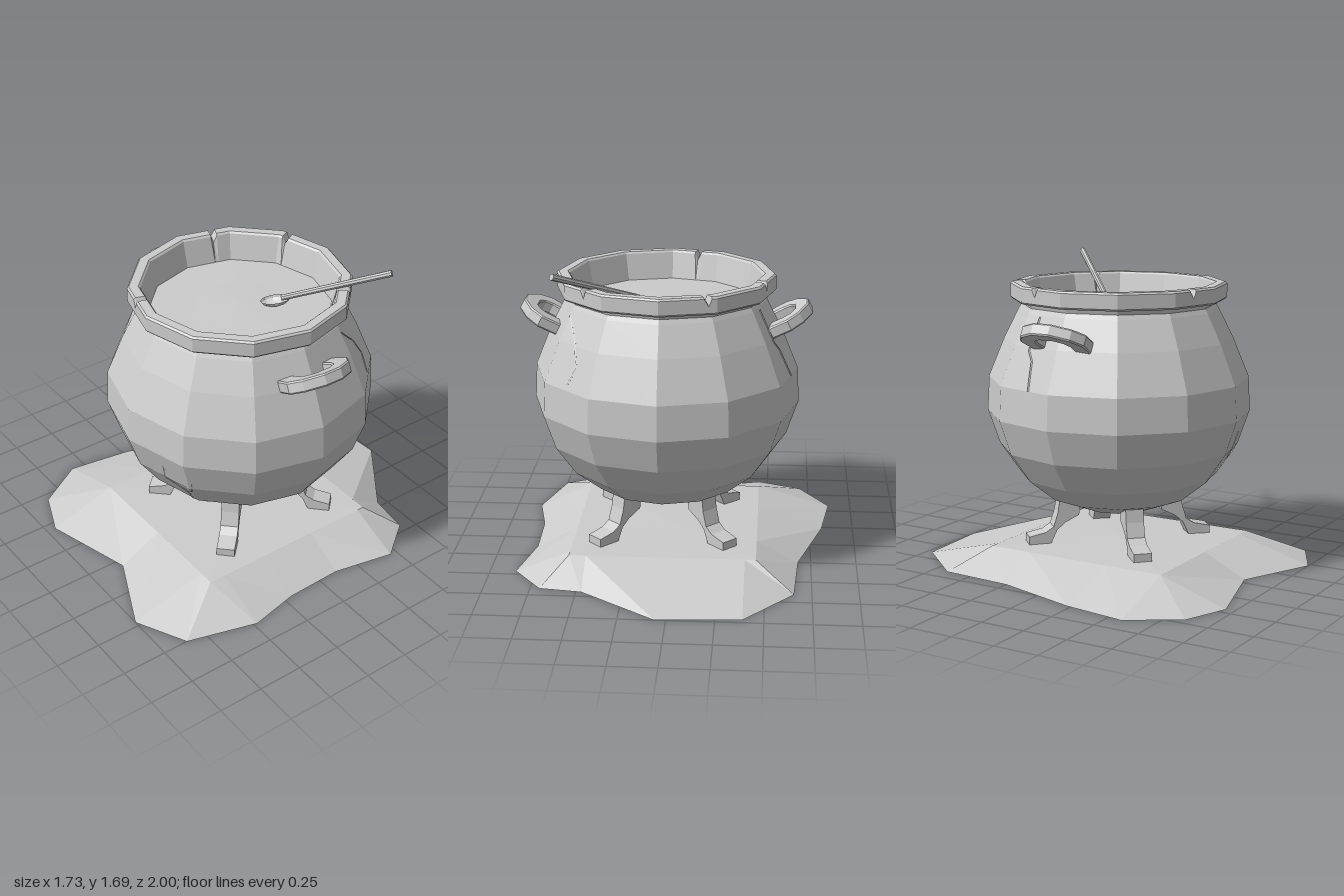
import * as THREE from 'three';

const CX = 0.065, CZ = 0.01, SIDES = 12, STEP = Math.PI * 2 / SIDES;
const mat = new THREE.MeshStandardMaterial({ color: 0xcccccc, flatShading: true });
const thin = new THREE.MeshStandardMaterial({ color: 0xcccccc, flatShading: true, side: THREE.DoubleSide });

function mesh(name, geo, material = mat) {
  const g = geo.index ? geo.toNonIndexed() : geo;
  g.computeVertexNormals();
  const m = new THREE.Mesh(g, material);
  m.name = name;
  return m;
}
const vecs = list => list.map(p => new THREE.Vector2(...p));

// Outer profile of the pot: radius, height
const POT = [[0, 0.285], [0.2, 0.31], [0.4, 0.385], [0.55, 0.505], [0.665, 0.67], [0.73, 0.86],
  [0.72, 1.05], [0.63, 1.27], [0.55, 1.43], [0.535, 1.455], [0.545, 1.485]];

// How far a flat side lies inside the corner radius at a given angle
function facet(theta) {
  const a = ((theta % STEP) + STEP) % STEP;
  return Math.cos(STEP / 2) / Math.cos(a - STEP / 2);
}

function potPoint(theta, y, lift = 0) {
  const i = Math.max(1, POT.findIndex(p => p[1] >= y));
  const [r0, y0] = POT[i - 1], [r1, y1] = POT[i];
  const r = THREE.MathUtils.mapLinear(y, y0, y1, r0, r1) * facet(theta) + lift;
  return new THREE.Vector3(Math.sin(theta) * r, y, Math.cos(theta) * r);
}

// Twelve-sided rim with small V-shaped chips in its top edge
function makeRim() {
  const profile = vecs([[0.53, 1.48], [0.585, 1.48], [0.595, 1.49], [0.595, 1.565],
    [0.585, 1.575], [0.535, 1.575], [0.525, 1.565], [0.488, 1.415]]);
  const chips = [2.37, 3.59, 4.373, 5.996];
  const angles = [];
  for (let i = 0; i <= SIDES; i++) angles.push({ a: i * STEP, dip: 0 });
  for (const c of chips) angles.push({ a: c - 0.04, dip: 0 }, { a: c, dip: 0.04 }, { a: c + 0.03, dip: 0 });
  angles.sort((p, q) => p.a - q.a);
  const geo = new THREE.LatheGeometry(profile, angles.length - 1);
  const pos = geo.attributes.position;
  for (let i = 0; i < pos.count; i++) {
    const { a, dip } = angles[Math.floor(i / profile.length)];
    const p = profile[i % profile.length], r = p.x * facet(a);
    pos.setXYZ(i, Math.sin(a) * r, p.y > 1.5 ? p.y - dip : p.y, Math.cos(a) * r);
  }
  return mesh('rim', geo);
}

// Thin crack that follows the flat sides of the pot; points are angle, height
function makeCrack(points) {
  const path = [];
  for (let i = 1; i < points.length; i++) {
    for (let k = i > 1 ? 1 : 0; k <= 4; k++) {
      const t = k / 4, [a0, y0] = points[i - 1], [a1, y1] = points[i];
      path.push(potPoint(a0 + (a1 - a0) * t, y0 + (y1 - y0) * t, 0.001));
    }
  }
  const curve = new THREE.CatmullRomCurve3(path, false, 'catmullrom', 0.1);
  return mesh('crack', new THREE.TubeGeometry(curve, path.length * 2, 0.005, 3));
}

// U-shaped grip, sloping up and outward
function makeHandle() {
  const half = [[0, 0.17], [0.13, 0.19], [0.2, 0.145], [0.255, 0.05]];
  const inner = [[0.185, 0.045], [0.155, 0.09], [0.11, 0.105], [0, 0.095]];
  const flip = list => list.map(([u, v]) => [u, -v]).reverse();
  const shape = new THREE.Shape(vecs([...half, ...flip(half), ...flip(inner), ...inner].reverse()));
  const geo = new THREE.ExtrudeGeometry(shape, { depth: 0.05, bevelThickness: 0.008, bevelSize: 0.006, bevelSegments: 1 });
  geo.translate(0, 0, -0.025);
  const c = Math.cos(0.48), s = Math.sin(0.48);
  geo.applyMatrix4(new THREE.Matrix4().makeBasis(
    new THREE.Vector3(c, s, 0), new THREE.Vector3(0, 0, 1), new THREE.Vector3(s, -c, 0)));
  geo.translate(0.55, 1.28, 0);
  return mesh('handle', geo);
}

// Curved leg with a flared foot, drawn along its radius
function makeLeg() {
  const shape = new THREE.Shape(vecs([[0.4, 0.125], [0.523, 0.125], [0.523, 0.17], [0.43, 0.19], [0.385, 0.22],
    [0.36, 0.3], [0.35, 0.37], [0.23, 0.36], [0.24, 0.28], [0.32, 0.24], [0.365, 0.2]]));
  const geo = new THREE.ExtrudeGeometry(shape, { depth: 0.1, bevelEnabled: false });
  geo.translate(0, 0, -0.05);
  return mesh('leg', geo);
}

// Ragged patch of earth rising to a low plateau
function makeGround() {
  const edge = [[-0.39, -0.97], [0.06, -1], [0.47, -0.7], [0.7, -0.67], [0.86, -0.46], [0.79, -0.12],
    [0.8, 0.2], [0.86, 0.48], [0.75, 0.86], [0.47, 1], [0.05, 0.81], [-0.45, 0.95], [-0.7, 0.85],
    [-0.87, 0.58], [-0.82, 0.23], [-0.68, -0.25], [-0.655, -0.66]];
  const n = edge.length, pos = [], index = [];
  for (const [x, z] of edge) pos.push(x, 0, z);
  for (const [x, z] of edge) {
    pos.push(THREE.MathUtils.clamp(x, -0.45, 0.56), 0.122, THREE.MathUtils.clamp(z, -0.5, 0.57));
  }
  pos.push(0.06, 0.135, 0);
  for (let i = 0; i < n; i++) {
    const j = (i + 1) % n;
    index.push(i, n + j, j, i, n + i, n + j, 2 * n, n + j, n + i);
  }
  for (let k = 0; k < index.length; k += 3) {
    if (k % 9 < 6) [index[k + 1], index[k + 2]] = [index[k + 2], index[k + 1]];
  }
  const geo = new THREE.BufferGeometry();
  geo.setAttribute('position', new THREE.Float32BufferAttribute(pos, 3));
  geo.setIndex(index);
  return mesh('ground', geo, thin);
}

// Spoon leaning on the rim, bowl resting in the brew
function makeSpoon() {
  const spoon = new THREE.Group();
  spoon.name = 'spoon';
  const tip = new THREE.Vector3(0.605, 1.678, -0.56), low = new THREE.Vector3(0.2, 1.475, -0.16);
  const dir = tip.clone().sub(low);
  const handle = mesh('spoonHandle', new THREE.CylinderGeometry(0.018, 0.016, dir.length(), 8));
  handle.position.copy(low).add(tip).multiplyScalar(0.5);
  handle.quaternion.setFromUnitVectors(new THREE.Vector3(0, 1, 0), dir.clone().normalize());
  const bowl = mesh('spoonBowl', new THREE.SphereGeometry(1, 10, 4, 0, Math.PI * 2, Math.PI / 2, Math.PI / 2), thin);
  bowl.scale.set(0.08, 0.035, 0.05);
  bowl.position.set(0.175, 1.463, -0.135);
  bowl.rotation.set(0, Math.PI / 4, 0.2);
  spoon.add(handle, bowl);
  return spoon;
}

export function createModel() {
  const model = new THREE.Group();
  model.name = 'cauldron';
  const pot = new THREE.Group();
  pot.name = 'pot';
  pot.position.set(CX, 0, CZ);
  pot.add(mesh('potBody', new THREE.LatheGeometry(vecs(POT), SIDES)), makeRim());

  // Brew with a slightly raised middle
  pot.add(mesh('brew', new THREE.LatheGeometry(vecs([[0.495, 1.42], [0.25, 1.423], [0, 1.43]]), SIDES)));

  for (const turn of [0, Math.PI]) {
    const handle = makeHandle();
    handle.rotation.y = turn;
    pot.add(handle);
  }
  for (let i = 0; i < 4; i++) {
    const leg = makeLeg();
    leg.rotation.y = Math.PI / 4 + i * Math.PI / 2;
    pot.add(leg);
  }
  const cracks = [
    [[0.3, 0.77], [0.28, 0.67], [0.47, 0.59], [0.46, 0.5], [0.51, 0.4]],
    [[0.47, 0.59], [0.54, 0.65], [0.56, 0.72]],
    [[2.1, 1.4], [2.31, 1.28], [2.41, 1.17], [2.35, 1.07]],
    [[4.37, 1.42], [4.38, 1.25], [4.45, 1.2], [4.5, 1.05]],
  ];
  for (const c of cracks) pot.add(makeCrack(c));

  model.add(pot, makeSpoon(), makeGround());
  return model;
}
